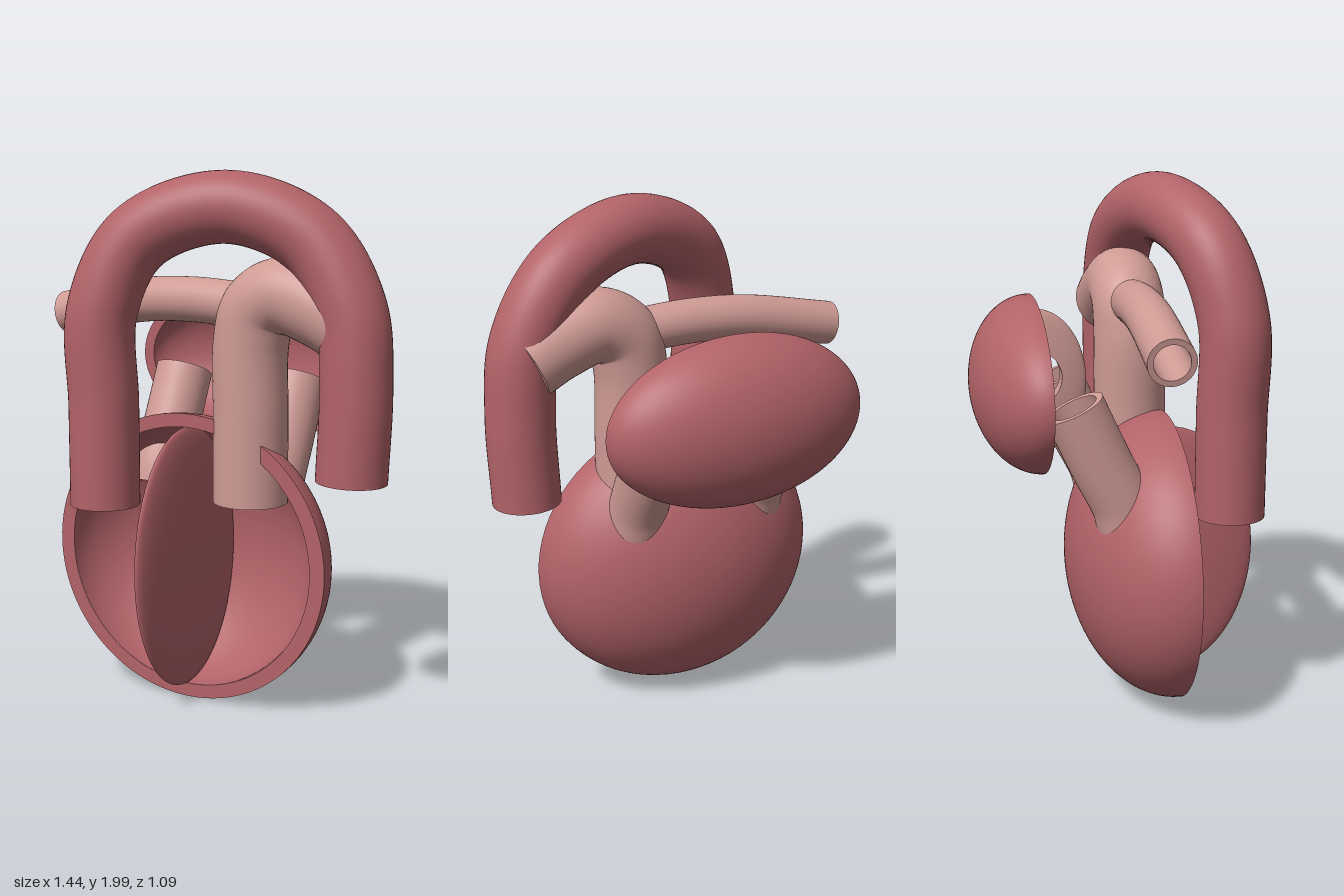
import * as THREE from 'three';
import { mergeGeometries, toCreasedNormals } from 'three/addons/utils/BufferGeometryUtils.js';

// Turn a surface inside out
function flip(geo) {
  geo.index.array.reverse();
  const n = geo.attributes.normal;
  for (let i = 0; i < n.array.length; i++) n.array[i] *= -1;
  return geo;
}

// Hollow pipe with ring-shaped ends, along a smooth path
function pipe(points, radius, inner, segments = 80) {
  const path = new THREE.CatmullRomCurve3(points.map(p => new THREE.Vector3(...p)), false, 'centripetal');
  const cap = t => {
    const dir = path.getTangentAt(t).multiplyScalar(t ? 1 : -1);
    const q = new THREE.Quaternion().setFromUnitVectors(new THREE.Vector3(0, 0, 1), dir);
    const at = path.getPointAt(t);
    return new THREE.RingGeometry(inner, radius, 40).applyQuaternion(q).translate(at.x, at.y, at.z);
  };
  return mergeGeometries([
    new THREE.TubeGeometry(path, segments, radius, 40),
    flip(new THREE.TubeGeometry(path, segments, inner, 40)),
    cap(0), cap(1),
  ]);
}

// Hollow half ellipsoid, open towards +z
function bowl(outer, inner) {
  const dome = r => new THREE.SphereGeometry(1, 72, 28, 0, Math.PI * 2, 0, Math.PI / 2)
    .rotateX(-Math.PI / 2).scale(...r);
  const rim = new THREE.Shape().absellipse(0, 0, outer[0], outer[1], 0, Math.PI * 2);
  rim.holes.push(new THREE.Path().absellipse(0, 0, inner[0], inner[1], 0, Math.PI * 2));
  return mergeGeometries([dome(outer), flip(dome(inner)), new THREE.ShapeGeometry(rim, 72)]);
}

// Thin lens in the yz plane with a round hole through x
function piercedLens(rx, ry, rz, hole, holeY) {
  const profile = [];
  const steps = 14;
  for (let i = 0; i <= steps; i++) profile.push(new THREE.Vector2(1 + Math.sin(i / steps * Math.PI / 2), -1));
  for (let i = steps; i >= 0; i--) profile.push(new THREE.Vector2(1 + Math.sin(i / steps * Math.PI / 2), 1));
  profile.push(profile[0].clone());
  const geo = new THREE.LatheGeometry(profile, 64);
  const p = geo.attributes.position;
  for (let i = 0; i < p.count; i++) {
    const a = Math.atan2(p.getZ(i), p.getX(i));
    const f = Math.hypot(p.getX(i), p.getZ(i)) - 1;
    const y = THREE.MathUtils.lerp(hole * Math.sin(a) + holeY, ry * Math.sin(a), f);
    const z = THREE.MathUtils.lerp(hole * Math.cos(a), rz * Math.cos(a), f);
    const thick = rx * Math.sqrt(Math.max(0, 1 - (y / ry) ** 2 - (z / rz) ** 2));
    p.setXYZ(i, p.getY(i) * thick, y, z);
  }
  return toCreasedNormals(geo, 0.7);
}

export function createModel() {
  const red = new THREE.MeshStandardMaterial({ color: 0xb26368 });
  red.name = 'muscle red';
  const pink = new THREE.MeshStandardMaterial({ color: 0xcf9a94 });
  pink.name = 'pale pink';

  const model = new THREE.Group();
  model.name = 'heartCutaway';
  const add = (name, geo, mat, pos = [0, 0, 0]) => {
    const mesh = new THREE.Mesh(geo, mat);
    mesh.name = name;
    mesh.position.set(...pos);
    model.add(mesh);
  };

  // Lower chamber with its dividing wall
  add('lowerChamber', bowl([0.585, 0.552, 0.39], [0.525, 0.5, 0.345]), red, [-0.078, 0.557, 0.2]);
  add('lowerDivider', new THREE.SphereGeometry(1, 48, 48).scale(0.047, 0.5, 0.345), red, [-0.075, 0.56, 0.2]);

  // Upper chamber with its pierced dividing wall
  add('upperChamber', bowl([0.517, 0.32, 0.24], [0.473, 0.277, 0.195]), red, [-0.077, 1.255, -0.305]);
  add('upperDivider', piercedLens(0.036, 0.275, 0.195, 0.1, 0.02), pink, [-0.075, 1.255, -0.305]);

  // Short pipes joining the two chambers
  for (const [name, x] of [['leftValvePipe', 0.182], ['rightValvePipe', -0.332]]) {
    add(name, pipe([[x, 0.78, -0.005], [x, 0.85, -0.025], [x, 1.0, -0.1], [x, 1.215, -0.2]], 0.113, 0.087, 30), pink);
  }

  // Large red arch
  add('archPipe', pipe([
    [-0.315, 0.775, 0.385], [-0.315, 1.15, 0.385], [-0.315, 1.5, 0.385], [-0.2, 1.76, 0.315],
    [0.1, 1.87, 0.205], [0.4, 1.76, 0.13], [0.555, 1.52, 0.12], [0.584, 1.25, 0.123], [0.572, 0.905, 0.123],
  ], 0.13, 0.105, 120), red);

  // Pale trunk bending left, and its right branch
  add('trunkPipe', pipe([
    [0.146, 0.78, 0.1], [0.146, 1.1, 0.1], [0.147, 1.38, 0.1], [0.18, 1.5, 0.1],
    [0.28, 1.555, 0.1], [0.44, 1.51, 0.1], [0.56, 1.45, 0.1],
  ], 0.14, 0.112), pink);
  add('branchPipe', pipe([
    [0.14, 1.51, 0.1], [-0.1, 1.525, 0.09], [-0.33, 1.515, 0.08], [-0.708, 1.447, 0.067],
  ], 0.085, 0.064, 50), pink);

  return model;
}
